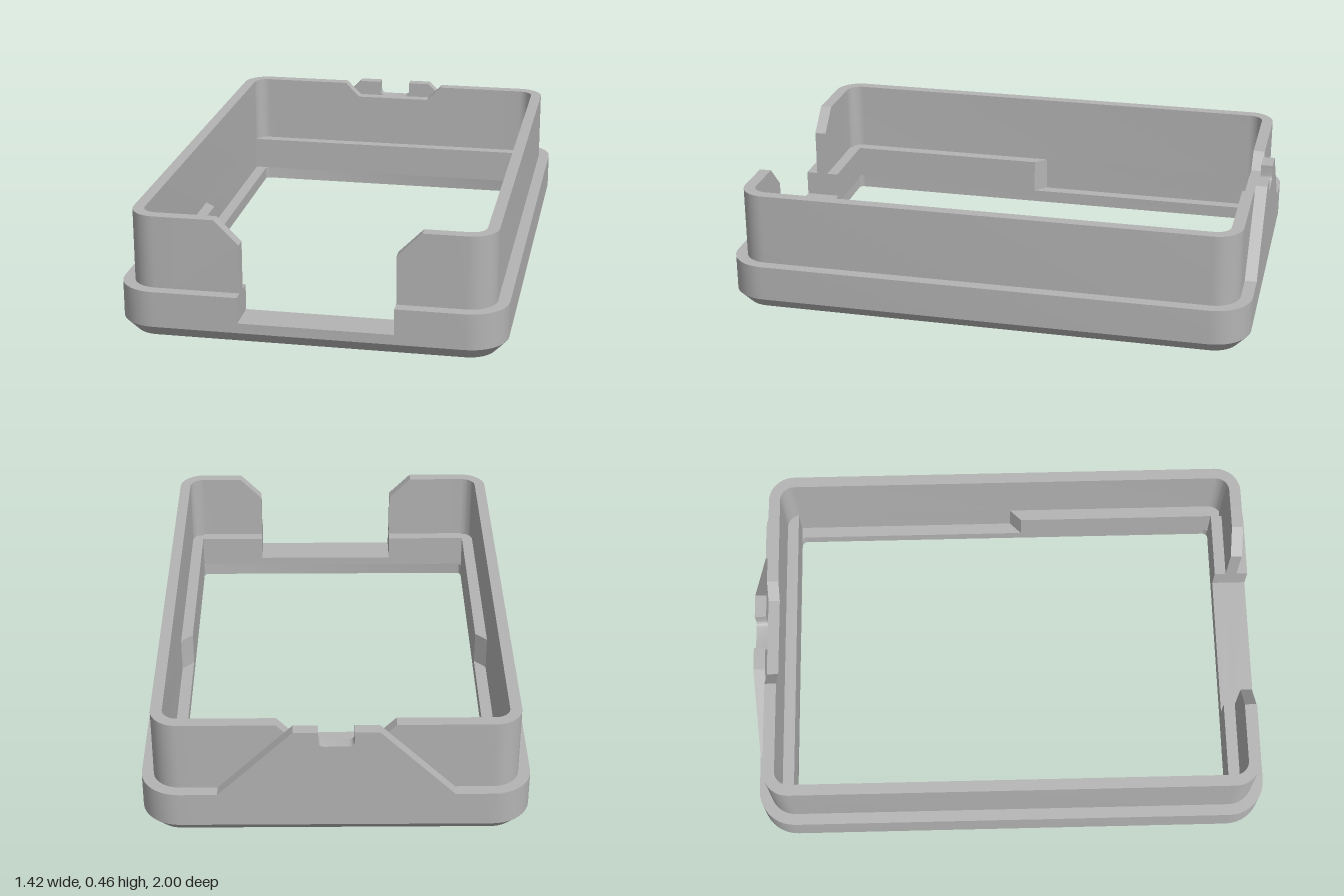
import * as THREE from 'three';
import { toCreasedNormals } from 'three/addons/utils/BufferGeometryUtils.js';

const FLOOR = 0.05, STEP = 0.183, TOP = 0.457, SPLIT = 0.5;

export function createModel() {
  const model = new THREE.Group();
  model.name = 'openFrameCase';
  const grey = new THREE.MeshStandardMaterial({ color: 0xb4b4b4 });
  grey.name = 'case grey';

  const add = (name, geometry) => {
    const mesh = new THREE.Mesh(toCreasedNormals(geometry, 0.6), grey);
    mesh.name = name;
    model.add(mesh);
  };
  const toShape = pts => new THREE.Shape(pts.map(([a, b]) => new THREE.Vector2(a, b)));

  // Upright panel: x-y outline extruded from z0 to z1
  const panel = (name, pts, z0, z1) => {
    const g = new THREE.ExtrudeGeometry(toShape(pts), { depth: z1 - z0, bevelEnabled: false });
    add(name, g.translate(0, 0, z0));
  };
  // Plan outline (x, z) extruded from y0 to y1
  const slab = (name, pts, y0, y1) => {
    const g = new THREE.ExtrudeGeometry(toShape(pts.map(([x, z]) => [x, -z])), { depth: y1 - y0, bevelEnabled: false });
    add(name, g.rotateX(-Math.PI / 2).translate(0, y0, 0));
  };

  // Quarter arc from angle a0, around a corner centre
  const arc = (cx, cz, r, a0, n = 10) => Array.from({ length: n + 1 }, (_, i) => {
    const a = a0 + (i / n) * Math.PI / 2;
    return [cx + r * Math.cos(a), cz + r * Math.sin(a)];
  });
  const roundedLoop = (hx, hz, r) => [
    ...arc(hx - r, hz - r, r, 0), ...arc(r - hx, hz - r, r, Math.PI / 2),
    ...arc(r - hx, r - hz, r, Math.PI), ...arc(hx - r, r - hz, r, Math.PI * 1.5),
  ];

  // Bottom rim with chamfered outer edge, lofted through closed loops
  const sections = [
    [0.58, 0.868, 0.02, FLOOR], [0.58, 0.868, 0.02, 0], [0.667, 0.957, 0.1, 0],
    [0.712, 1, 0.143, 0.047], [0.712, 1, 0.143, FLOOR],
  ];
  const loops = sections.map(([hx, hz, r, y]) => roundedLoop(hx, hz, r).map(([x, z]) => [x, y, z]));
  const n = loops[0].length, pos = [];
  loops.forEach((loop, k) => {
    const next = loops[(k + 1) % loops.length];
    for (let i = 0; i < n; i++) {
      const j = (i + 1) % n;
      pos.push(...loop[i], ...loop[j], ...next[j], ...loop[i], ...next[j], ...next[i]);
    }
  });
  // Fix orientation so that the rim faces outward (signed volume test)
  let volume = 0;
  const [a, b, c] = [0, 0, 0].map(() => new THREE.Vector3());
  for (let i = 0; i < pos.length; i += 9) {
    a.fromArray(pos, i); b.fromArray(pos, i + 3); c.fromArray(pos, i + 6);
    volume += a.dot(b.cross(c));
  }
  if (volume < 0) {
    for (let i = 0; i < pos.length; i += 9)
      for (let k = 0; k < 3; k++) [pos[i + 3 + k], pos[i + 6 + k]] = [pos[i + 6 + k], pos[i + 3 + k]];
  }
  const rim = new THREE.BufferGeometry();
  rim.setAttribute('position', new THREE.Float32BufferAttribute(pos, 3));
  add('bottomRim', rim);

  // Long sides with rounded corners, in two steps, plus the raised front half of the ledge
  const sideOutline = (s, hx, hz, r) => {
    const half = (x, z, q) => [[SPLIT, -z], ...arc(x - q, q - z, q, Math.PI * 1.5), ...arc(x - q, z - q, q, 0), [SPLIT, z]];
    return [...half(hx, hz, r), ...half(0.625, 0.91, 0.055).reverse()].map(([x, z]) => [s * x, z]);
  };
  for (const [s, side] of [[1, 'left'], [-1, 'right']]) {
    slab(side + 'Base', sideOutline(s, 0.712, 1, 0.143), FLOOR, STEP);
    slab(side + 'Wall', sideOutline(s, 0.668, 0.955, 0.1), STEP, TOP);
    slab(side + 'Ledge', [[0.58, 0.067], [0.63, 0.017], [0.63, 0.9], [0.58, 0.9]].map(([x, z]) => [s * x, z]), FLOOR, STEP);
  }

  // Front: wide opening with flared top corners
  const L = -0.253, R = 0.317, SILL = 0.085, FLARE = 0.367;
  const frontBase = w => [[-w, FLOOR], [w, FLOOR], [w, STEP], [R, STEP], [R, SILL], [L, SILL], [L, STEP], [-w, STEP]];
  panel('frontBase', frontBase(SPLIT), 0.91, 1);
  panel('frontLedge', frontBase(0.58), 0.865, 0.91);
  for (const [x, s, name] of [[L, -1, 'frontWallRight'], [R, 1, 'frontWallLeft']]) {
    panel(name, [[s * SPLIT, STEP], [x, STEP], [x, FLARE], [x + s * (TOP - FLARE), TOP], [s * SPLIT, TOP]], 0.91, 0.955);
  }

  // Back: base, ledge and notched wall
  const box = w => [[-w, FLOOR], [w, FLOOR], [w, STEP], [-w, STEP]];
  const NOTCH = 0.396;
  panel('backBase', box(SPLIT), -1, -0.91);
  panel('backLedge', box(0.626), -0.91, -0.865);
  panel('backWall', [[-SPLIT, STEP], [SPLIT, STEP], [SPLIT, TOP], [0.215, TOP], [0.155, NOTCH],
    [-0.155, NOTCH], [-0.215, TOP], [-SPLIT, TOP]], -0.955, -0.91);

  // Sloped back plate with a round-cornered slot in its top
  const slotHalf = [[0.155, TOP], [0.065, TOP], ...arc(0.045, NOTCH + 0.02, 0.02, -Math.PI / 2, 4).reverse()];
  panel('backPlate', [[-0.43, STEP], [0.43, STEP], ...slotHalf,
    ...slotHalf.map(([x, y]) => [-x, y]).reverse()], -1, -0.955);

  return model;
}
